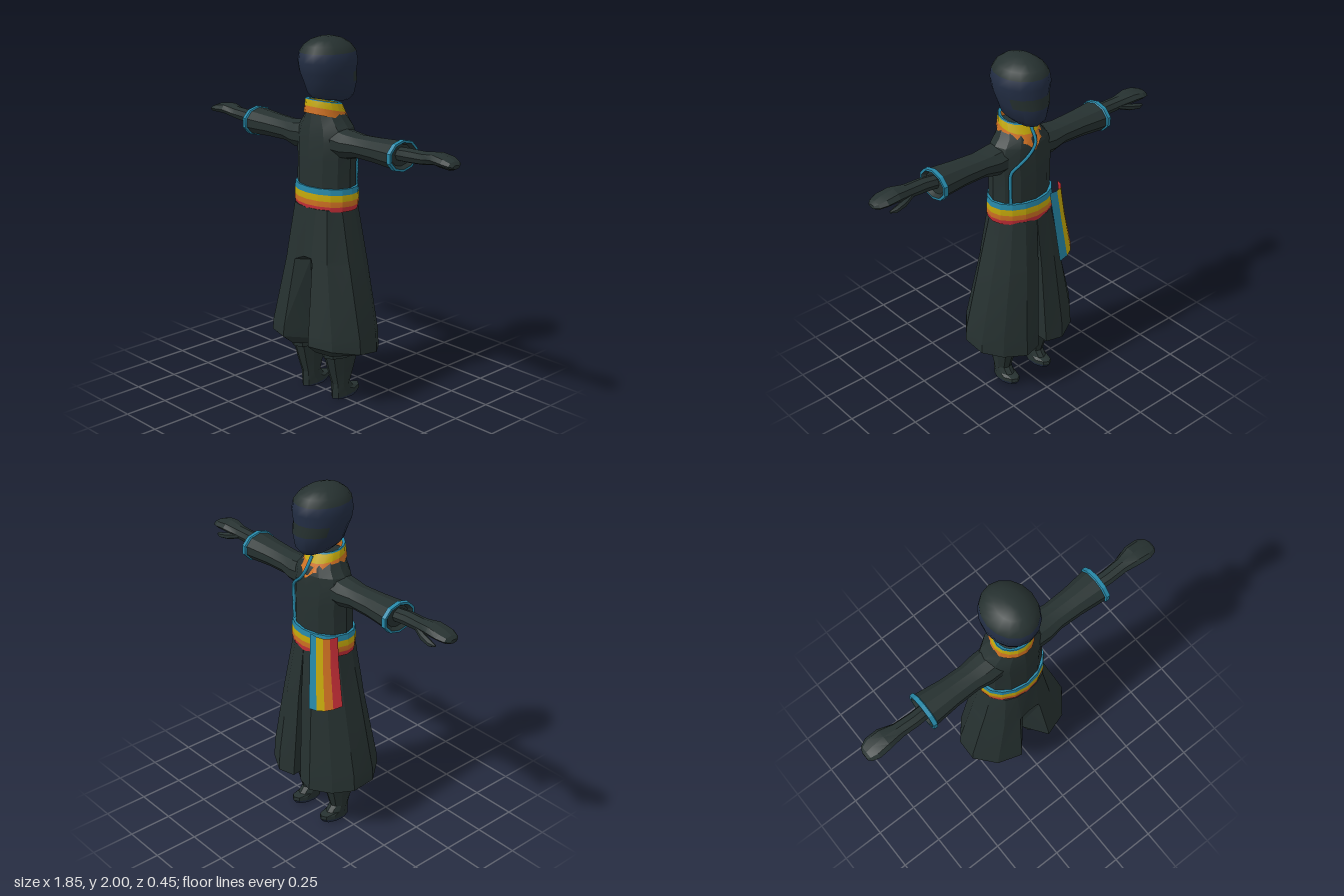
import * as THREE from 'three';
import { toCreasedNormals } from 'three/addons/utils/BufferGeometryUtils.js';

const material = (name, color, side = THREE.FrontSide) => {
  const m = new THREE.MeshStandardMaterial({ color, side });
  m.name = name;
  return m;
};

export function createModel() {
  const group = new THREE.Group();
  const cloth = material('dark cloth', 0x263130);
  const navy = material('navy scarf', 0x222d43);
  const blue = material('blue trim', 0x2688a8, THREE.DoubleSide);
  const yellow = material('yellow stripe', 0xc4a80a, THREE.DoubleSide);
  const orange = material('orange stripe', 0xcf7122, THREE.DoubleSide);
  const red = material('red stripe', 0xc92f38, THREE.DoubleSide);

  // Skin stacked rings; pick(i, j) chooses the colour of each face, i = -1 and last are the caps
  function loft(name, rings, pick, crease = 0.3, caps = true) {
    const n = rings[0].length, last = rings.length - 1;
    const pos = rings.flat(2), faces = new Map();
    const add = (m, ...ids) => {
      if (!faces.has(m)) faces.set(m, []);
      faces.get(m).push(...ids);
    };
    const choose = typeof pick === 'function' ? pick : () => pick;
    for (let i = 0; i < last; i++) for (let j = 0; j < n; j++) {
      const a = i * n + j, b = i * n + (j + 1) % n;
      add(choose(i, j), a, b, b + n, a, b + n, a + n);
    }
    if (caps) for (const i of [0, last]) {
      const centre = [0, 1, 2].map(k => rings[i].reduce((s, p) => s + p[k], 0) / n);
      const c = pos.length / 3;
      pos.push(...centre);
      for (let j = 0; j < n; j++) {
        const a = i * n + j, b = i * n + (j + 1) % n;
        if (i === 0) add(choose(-1, j), b, a, c);
        else add(choose(last, j), a, b, c);
      }
    }
    const geo = new THREE.BufferGeometry();
    geo.setAttribute('position', new THREE.Float32BufferAttribute(pos, 3));
    const index = [], mats = [];
    for (const [m, ids] of faces) {
      geo.addGroup(index.length, ids.length, mats.length);
      index.push(...ids);
      mats.push(m);
    }
    geo.setIndex(index);
    const mesh = new THREE.Mesh(toCreasedNormals(geo, crease), mats.length > 1 ? mats : mats[0]);
    mesh.name = name;
    group.add(mesh);
    return mesh;
  }

  // Upright ring: half width, back and face-side depth, centre x, slope of y along z
  const ring = (n, y, rx, zb, zf, cx = 0, tilt = 0) => Array.from({ length: n }, (_, j) => {
    const a = j / n * Math.PI * 2, z = (zb + zf) / 2 + (zb - zf) / 2 * Math.cos(a);
    return [cx + rx * Math.sin(a), y + tilt * z, z];
  });
  // Ring around an arm running along +x
  const armRing = (n, x, cy, ry, cz, rz) => Array.from({ length: n }, (_, j) => {
    const a = j / n * Math.PI * 2;
    return [x, cy + ry * Math.cos(a), cz + rz * Math.sin(a)];
  });
  // Mirror rings to the other side, keeping faces outward
  const sided = (rings, s) => s > 0 ? rings
    : rings.map(r => r.map(([x, y, z]) => [-x, y, z]).reverse());

  // Head wrapped in a scarf, with a dark crown and eye opening
  loft('head', [
    [1.668, 0.07, 0.08, -0.145, 0.15], [1.70, 0.105, 0.107, -0.175, 0.12],
    [1.765, 0.126, 0.125, -0.187, 0.04], [1.815, 0.138, 0.145, -0.176],
    [1.87, 0.146, 0.155, -0.184], [1.92, 0.137, 0.148, -0.176], [1.955, 0.112, 0.125, -0.148],
    [1.983, 0.072, 0.085, -0.1], [1.997, 0.03, 0.04, -0.045],
  ].map(([y, rx, zb, zf, t]) => ring(16, y, rx, zb, zf, 0, t)),
  (i, j) => i >= 5 || (i === 2 && j >= 5 && j <= 10) ? cloth : navy, 0.7);

  // Torso
  loft('torso', [
    [1.17, 0.18, 0.13, -0.14], [1.36, 0.18, 0.127, -0.142], [1.46, 0.19, 0.122, -0.135],
    [1.53, 0.165, 0.115, -0.13], [1.57, 0.13, 0.108, -0.115], [1.62, 0.1, 0.1, -0.08],
  ].map(r => ring(12, ...r)), cloth);

  // Standing collar, falling into a lapel point on the chest
  const collarRings = [[1.577, 0.118, 0.118, -0.13, 0.24], [1.615, 0.108, 0.113, -0.105, 0.24],
    [1.653, 0.103, 0.108, -0.08, 0.2], [1.66, 0.1, 0.105, -0.075, 0.2], [1.655, 0.085, 0.09, -0.06, 0.2]]
    .map(([y, rx, zb, zf, t]) => ring(16, y, rx, zb, zf, 0, t));
  collarRings[0][8][1] -= 0.04;
  collarRings[0][8][2] -= 0.008;
  loft('collar', collarRings, i => [orange, yellow, blue, blue][i], 0.4, false);

  // Trim along the overlapping coat edge
  const edge = new THREE.CatmullRomCurve3([
    [-0.005, 1.625, -0.092], [0.0, 1.55, -0.133], [0.04, 1.495, -0.135], [0.1, 1.445, -0.122],
    [0.135, 1.40, -0.1], [0.138, 1.3, -0.096], [0.135, 1.2, -0.096],
  ].map(p => new THREE.Vector3(...p)));
  const trim = new THREE.Mesh(new THREE.TubeGeometry(edge, 24, 0.009, 5), blue);
  trim.name = 'coatTrim';
  group.add(trim);

  // Striped belt
  loft('belt', [[1.09, 0.17, 0.12, -0.13], [1.09, 0.19, 0.138, -0.153], [1.117, 0.196, 0.141, -0.157],
    [1.147, 0.197, 0.142, -0.158], [1.182, 0.196, 0.141, -0.157], [1.214, 0.192, 0.138, -0.153],
    [1.214, 0.17, 0.12, -0.13]].map(r => ring(16, ...r)),
  i => [red, red, orange, yellow, blue, blue, blue][Math.max(i, 0)]);

  // Striped sash hanging from the belt
  const sashRows = [[[-0.075, 1.225, -0.165], [-0.2, 1.225, -0.085]],
    [[-0.09, 1.06, -0.185], [-0.218, 1.07, -0.092]],
    [[-0.115, 0.80, -0.212], [-0.265, 0.84, -0.105]]]
    .map(r => r.map(p => new THREE.Vector3(...p)));
  [blue, yellow, orange, red].forEach((m, k) => {
    const pos = [];
    for (const [inner, outer] of sashRows) for (const t of [k / 4, (k + 1) / 4]) {
      const p = inner.clone().lerp(outer, t), bulge = 0.1 * t * (1 - t);
      pos.push(p.x - bulge, p.y, p.z - bulge * 1.2);
    }
    const geo = new THREE.BufferGeometry();
    geo.setAttribute('position', new THREE.Float32BufferAttribute(pos, 3));
    geo.setIndex([0, 1, 3, 0, 3, 2, 2, 3, 5, 2, 5, 4]);
    geo.computeVertexNormals();
    const mesh = new THREE.Mesh(geo, m);
    mesh.name = 'sashStripe' + (k + 1);
    group.add(mesh);
  });

  // Coat skirt half: [y at back, y at face side, outline of x,z corners]
  const skirt = [
    [0.30, 0.29, [[0.02, 0.06], [0.09, 0.16], [0.19, 0.14], [0.25, 0.05], [0.25, -0.06], [0.2, -0.13], [0.13, -0.18], [0.03, -0.14]]],
    [0.355, 0.285, [[0.004, 0.08], [0.10, 0.227], [0.24, 0.18], [0.335, 0.06], [0.328, -0.07], [0.25, -0.165], [0.13, -0.228], [0.03, -0.205]]],
    [0.41, 0.40, [[0.003, 0.085], [0.098, 0.222], [0.235, 0.178], [0.33, 0.06], [0.322, -0.07], [0.245, -0.162], [0.128, -0.222], [0.025, -0.2]]],
    [0.80, 0.80, [[0.002, 0.11], [0.068, 0.165], [0.16, 0.14], [0.238, 0.05], [0.232, -0.06], [0.18, -0.138], [0.10, -0.185], [0.012, -0.178]]],
    [0.83, 0.83, [[0, 0.162], [0.06, 0.164], [0.157, 0.138], [0.23, 0.05], [0.225, -0.06], [0.175, -0.135], [0.098, -0.182], [0.01, -0.176]]],
    [1.10, 1.10, [[0, 0.138], [0.065, 0.134], [0.125, 0.11], [0.168, 0.04], [0.168, -0.05], [0.135, -0.11], [0.075, -0.145], [0, -0.15]]],
  ].map(([yb, yf, pts]) => pts.map(([x, z]) => [x, yb + (yf - yb) * (0.225 - z) / 0.45, z]));

  for (const s of [1, -1]) {
    const side = s > 0 ? 'left' : 'right';
    loft(side + 'Skirt', sided(skirt, s), cloth, 0.2);

    // Sleeve with a trimmed, open-looking cuff
    loft(side + 'Sleeve', sided([
      [0.1, 1.455, 0.085, 0, 0.09], [0.19, 1.45, 0.077, 0, 0.09], [0.27, 1.456, 0.063, 0, 0.078],
      [0.4, 1.458, 0.067, 0, 0.082], [0.55, 1.459, 0.077, -0.002, 0.098],
    ].map(r => armRing(10, ...r)), s), cloth);
    loft(side + 'Cuff', sided([
      [0.54, 1.459, 0.077, -0.002, 0.098], [0.545, 1.459, 0.083, -0.002, 0.108],
      [0.568, 1.459, 0.082, -0.002, 0.106], [0.568, 1.459, 0.07, -0.002, 0.092],
      [0.52, 1.465, 0.035, 0, 0.04],
    ].map(r => armRing(10, ...r)), s), i => i < 3 ? blue : cloth, 0.4, false);

    // Hand and thumb
    loft(side + 'Hand', sided([
      [0.5, 1.465, 0.035, 0, 0.04], [0.62, 1.473, 0.038, 0.008, 0.041], [0.72, 1.478, 0.035, 0.005, 0.043],
      [0.80, 1.492, 0.032, 0.002, 0.062], [0.87, 1.487, 0.026, 0.004, 0.064], [0.91, 1.478, 0.02, 0.006, 0.048],
      [0.925, 1.472, 0.01, 0.01, 0.025],
    ].map(r => armRing(8, ...r)), s), cloth);
    loft(side + 'Thumb', sided([
      [0.70, 1.47, 0.015, -0.02, 0.015], [0.77, 1.452, 0.02, -0.043, 0.019],
      [0.83, 1.441, 0.016, -0.052, 0.016], [0.86, 1.44, 0.006, -0.05, 0.007],
    ].map(r => armRing(6, ...r)), s), cloth);

    // Boot with a rim, upturned toe and navy sole
    loft(side + 'Boot', sided([
      [0.002, 0.044, 0.058, -0.115, 0.12, -0.02], [0.014, 0.048, 0.062, -0.135, 0.12, -0.12],
      [0.035, 0.047, 0.061, -0.132, 0.12, -0.12], [0.055, 0.046, 0.06, -0.085, 0.12],
      [0.09, 0.047, 0.058, -0.055, 0.12], [0.17, 0.058, 0.085, -0.08, 0.121], [0.262, 0.068, 0.112, -0.11, 0.123],
      [0.264, 0.077, 0.127, -0.125, 0.123], [0.288, 0.078, 0.13, -0.128, 0.123], [0.32, 0.07, 0.11, -0.11, 0.123],
    ].map(r => ring(10, ...r)), s), i => i < 1 ? navy : cloth);
  }
  return group;
}
